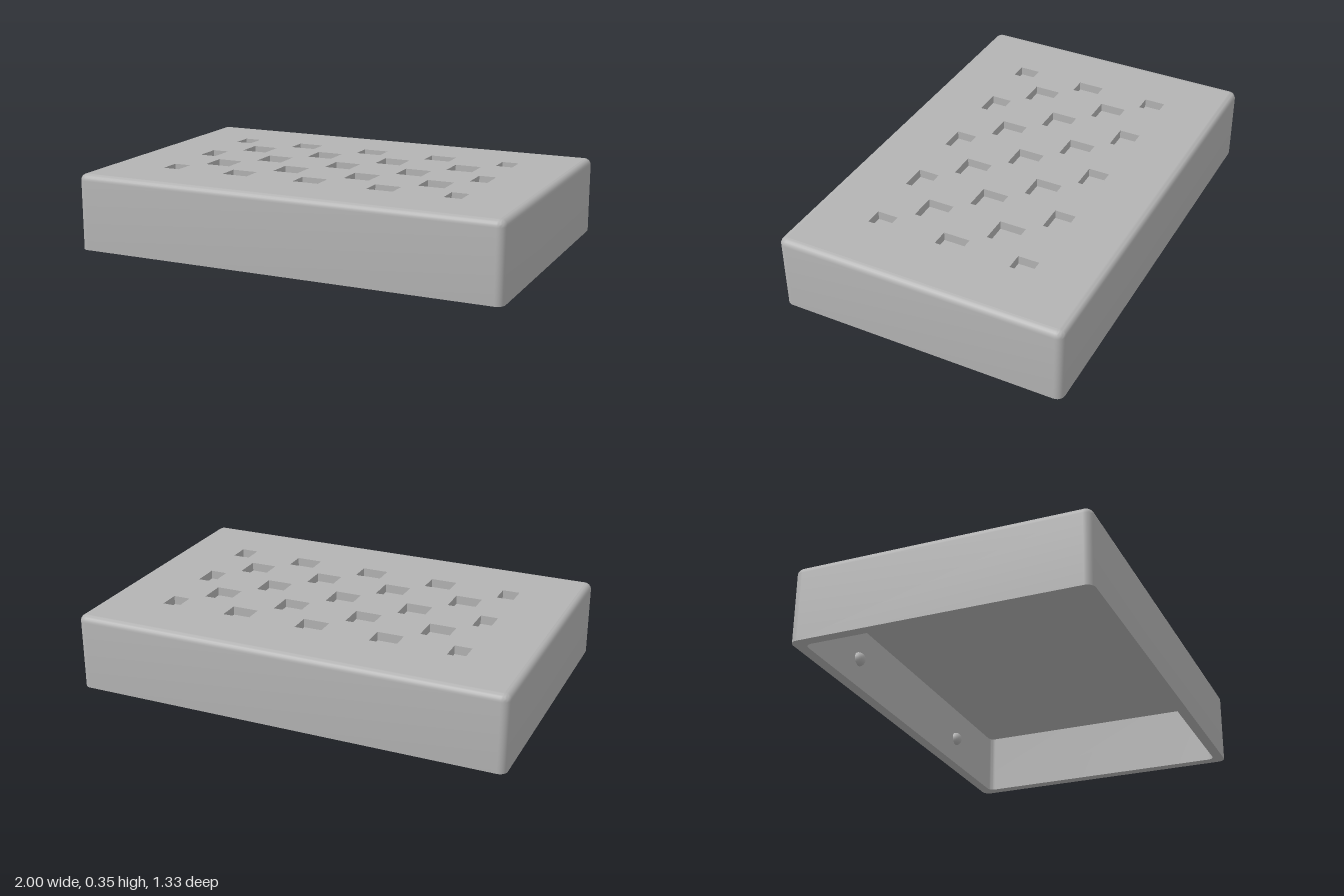
import * as THREE from 'three';
import { toCreasedNormals } from 'three/addons/utils/BufferGeometryUtils.js';

const HALF_X = 1, HALF_Z = 0.665, HEIGHT = 0.35;
const WALL = 0.048, EDGE = 0.03, CORNER = 0.036;
const CEILING = 0.29, POCKET_FLOOR = 0.31;

// Rounded rectangle, counter-clockwise, inset from the outer footprint
function outline(inset, radius, steps = 6) {
  const pts = [];
  const cx = HALF_X - inset - radius, cy = HALF_Z - inset - radius;
  [[1, 1], [-1, 1], [-1, -1], [1, -1]].forEach(([sx, sy], q) => {
    for (let i = 0; i <= steps; i++) {
      const a = (q + i / steps) * Math.PI / 2;
      pts.push(new THREE.Vector2(sx * cx + radius * Math.cos(a), sy * cy + radius * Math.sin(a)));
    }
  });
  return pts;
}

// Skin through a list of rings of equal point count
function loft(rings) {
  const pos = [], index = [], n = rings[0].pts.length;
  rings.forEach(({ pts, y }) => pts.forEach(p => pos.push(p.x, y, -p.y)));
  for (let i = 0; i < rings.length - 1; i++) {
    for (let j = 0; j < n; j++) {
      const k = (j + 1) % n;
      const a = i * n + j, b = i * n + k, c = b + n, d = a + n;
      index.push(a, b, c, a, c, d);
    }
  }
  const geo = new THREE.BufferGeometry();
  geo.setAttribute('position', new THREE.Float32BufferAttribute(pos, 3));
  geo.setIndex(index);
  return toCreasedNormals(geo.toNonIndexed(), 0.7);
}

// Checkerboard of square pockets, trimmed to a rectangular field
function pocketPaths() {
  const pitch = 0.176, half = 0.061, limX = 0.722, limZ = 0.388;
  const clamp = THREE.MathUtils.clamp;
  const paths = [];
  for (let row = -2; row <= 2; row++) {
    for (let col = -4; col <= 4; col++) {
      if ((row + col) % 2 !== 0) continue;
      const x0 = clamp(col * pitch - half, -limX, limX), x1 = clamp(col * pitch + half, -limX, limX);
      const z0 = clamp(row * pitch - half, -limZ, limZ), z1 = clamp(row * pitch + half, -limZ, limZ);
      paths.push(new THREE.Path([[x0, z0], [x0, z1], [x1, z1], [x1, z0]].map(p => new THREE.Vector2(...p))));
    }
  }
  return paths;
}

export function createModel() {
  const group = new THREE.Group();
  const grey = new THREE.MeshStandardMaterial({ color: 0xb3b3b3 });
  grey.name = 'grey';
  const add = (geo, name) => {
    const mesh = new THREE.Mesh(geo, grey);
    mesh.name = name;
    group.add(mesh);
    return mesh;
  };

  // Walls: inner face, bottom rim, outer face, rounded top edge
  const rings = [
    { pts: outline(WALL, 0.03), y: CEILING },
    { pts: outline(WALL, 0.03), y: 0 },
    { pts: outline(0, CORNER), y: 0 },
  ];
  for (let i = 0; i <= 6; i++) {
    const a = i / 6 * Math.PI / 2;
    const inset = EDGE * (1 - Math.cos(a));
    rings.push({ pts: outline(inset, CORNER - inset), y: HEIGHT - EDGE + EDGE * Math.sin(a) });
  }
  add(loft(rings), 'walls');

  // Top plate pierced by the pockets
  const shape = new THREE.Shape(outline(EDGE, CORNER - EDGE));
  shape.holes = pocketPaths();
  const top = new THREE.ExtrudeGeometry(shape, { depth: HEIGHT - POCKET_FLOOR, bevelEnabled: false });
  top.rotateX(-Math.PI / 2).translate(0, POCKET_FLOOR, 0);
  add(top, 'topPlate');

  // Ceiling plate closing the pockets from below
  const ceiling = new THREE.BoxGeometry(2 * (HALF_X - WALL) + 0.02, POCKET_FLOOR - CEILING, 2 * (HALF_Z - WALL) + 0.02);
  add(ceiling.translate(0, (POCKET_FLOOR + CEILING) / 2, 0), 'ceilingPlate');

  // Round snap bumps inside the long walls
  for (const sz of [1, -1]) {
    for (const sx of [1, -1]) {
      add(new THREE.SphereGeometry(0.032, 20, 14), 'snapBump').position.set(sx * 0.51, 0.13, sz * (HALF_Z - WALL));
    }
  }
  return group;
}
